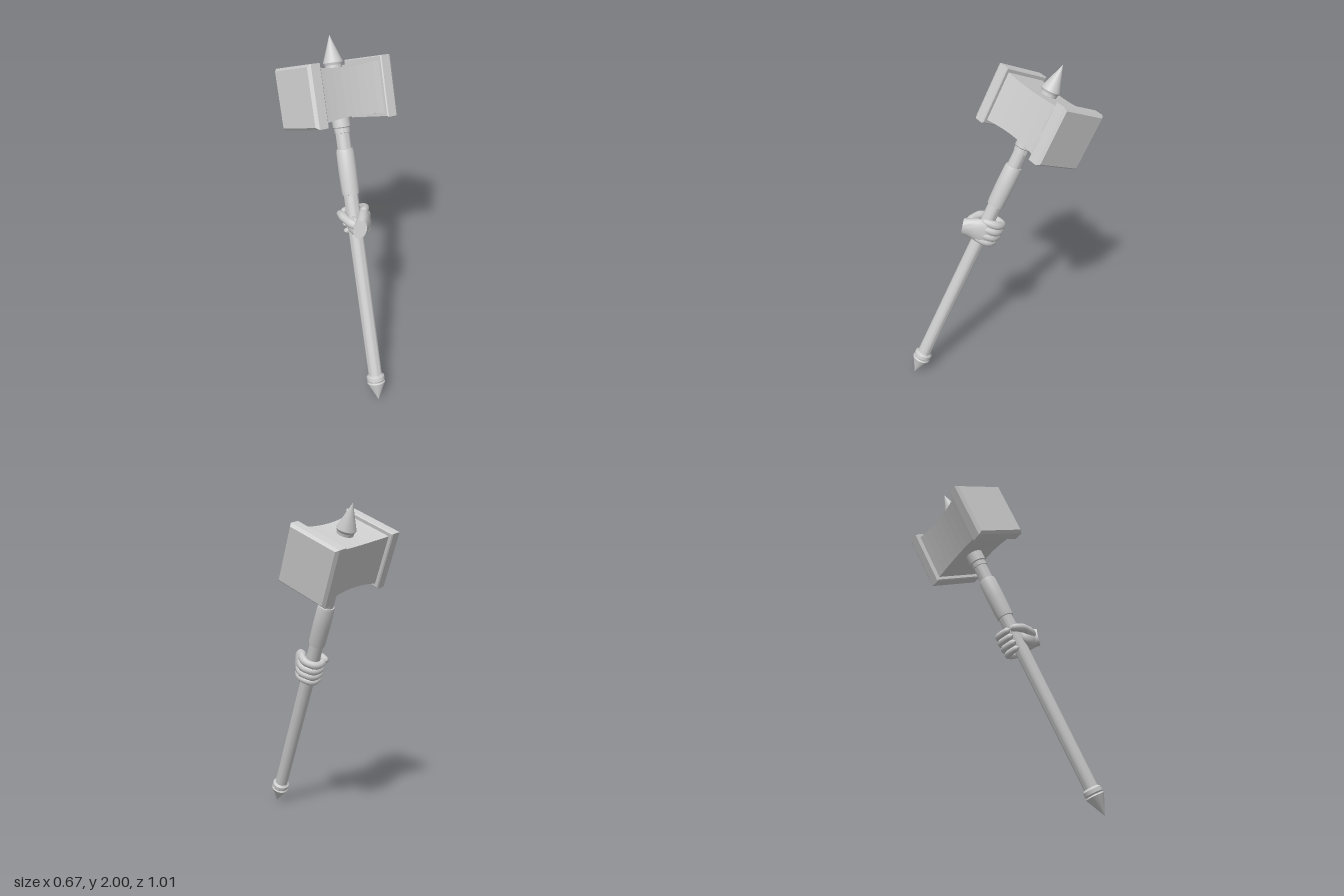
import * as THREE from 'three';
import { toCreasedNormals } from 'three/addons/utils/BufferGeometryUtils.js';

const smooth = new THREE.MeshStandardMaterial({ color: 0xcccccc });
const faceted = new THREE.MeshStandardMaterial({ color: 0xcccccc, flatShading: true });
const v2 = ([x, y]) => new THREE.Vector2(x, y);
const v3 = (p) => new THREE.Vector3(...p);

function add(parent, name, geometry, material = smooth) {
  const mesh = new THREE.Mesh(geometry, material);
  mesh.name = name;
  parent.add(mesh);
  return mesh;
}

// Round part along the shaft, from [radius, height] points
function turned(parent, name, points) {
  const g = new THREE.LatheGeometry(points.map(v2), 28);
  return add(parent, name, toCreasedNormals(g.toNonIndexed(), 0.5));
}

// Square part along x, from [half size, x] points
function squareLoft(points) {
  const g = new THREE.LatheGeometry(points.map(([h, x]) => new THREE.Vector2(h * Math.SQRT2, x)), 4, Math.PI / 4);
  return g.rotateZ(-Math.PI / 2);
}

// Rounded, tapering digit along a smooth curve
function digit(parent, name, points, radius, taper) {
  const curve = new THREE.CatmullRomCurve3(points.map(v3));
  const rows = 18, sides = 12;
  const g = new THREE.TubeGeometry(curve, rows, radius, sides);
  const pos = g.attributes.position;
  const p = new THREE.Vector3();
  for (let i = 0; i <= rows; i++) {
    const t = i / rows, c = curve.getPointAt(t);
    // slight swelling at the joints, rounding off at the ends
    const joint = 1 + 0.06 * Math.cos(t * Math.PI * 6);
    const end = Math.sqrt(Math.max(0, 1 - Math.pow(Math.abs(2 * t - 1), 10)));
    const s = (1 - taper * t) * joint * end;
    for (let j = 0; j <= sides; j++) {
      const k = i * (sides + 1) + j;
      p.fromBufferAttribute(pos, k).sub(c).multiplyScalar(s).add(c);
      pos.setXYZ(k, p.x, p.y, p.z);
    }
  }
  g.computeVertexNormals();
  return add(parent, name, g);
}

// Back of the hand: ellipses lofted from the cut wrist to the knuckles
function palmGeometry() {
  const sections = [ // centre, half height, half thickness, backward lean
    [[-0.057, -0.034, 0.122], 0.054, 0.041, 0.35],
    [[-0.03, -0.022, 0.102], 0.06, 0.042, 0.25],
    [[0.0, -0.012, 0.078], 0.07, 0.042, 0.15],
    [[0.035, -0.006, 0.052], 0.08, 0.038, 0.05],
    [[0.068, -0.004, 0.018], 0.082, 0.026, 0],
  ];
  const n = 24, pos = [], idx = [];
  for (const [c, h, w, lean] of sections) {
    for (let j = 0; j < n; j++) {
      const a = (j / n) * Math.PI * 2;
      const u = Math.cos(a) * h, s = Math.sin(a) * w;
      pos.push(c[0] + s * 0.68, c[1] + u, c[2] + s * 0.73 + u * lean);
    }
  }
  for (let i = 0; i < sections.length - 1; i++) {
    for (let j = 0; j < n; j++) {
      const a = i * n + j, b = i * n + ((j + 1) % n);
      idx.push(a, b, a + n, b, b + n, a + n);
    }
  }
  // end caps
  const last = (sections.length - 1) * n;
  for (let j = 1; j < n - 1; j++) {
    idx.push(0, j + 1, j);
    idx.push(last, last + j, last + j + 1);
  }
  const g = new THREE.BufferGeometry();
  g.setAttribute('position', new THREE.Float32BufferAttribute(pos, 3));
  g.setIndex(idx);
  return toCreasedNormals(g, 0.8);
}

export function createModel() {
  const model = new THREE.Group();
  model.name = 'warHammer';

  // Hammer frame: y runs up the shaft from the pommel tip, x along the head
  const hammer = new THREE.Group();
  hammer.name = 'hammer';
  const up = new THREE.Vector3(0.375, 2.0, -0.89).normalize();
  const along = new THREE.Vector3(0.985, -0.166, 0.043);
  along.addScaledVector(up, -along.dot(up)).normalize();
  const front = new THREE.Vector3().crossVectors(along, up);
  hammer.quaternion.setFromRotationMatrix(new THREE.Matrix4().makeBasis(along, up, front));
  hammer.position.set(-0.305, 0, 0.5);
  model.add(hammer);

  // Shaft
  turned(hammer, 'pommelSpike', [[0, 0], [0.056, 0.118], [0.048, 0.128], [0, 0.128]]);
  turned(hammer, 'pommelRing', [[0, 0.125], [0.048, 0.125], [0.055, 0.135], [0.055, 0.158], [0.042, 0.17], [0, 0.17]]);
  turned(hammer, 'shaft', [[0.041, 0.16], [0.043, 1.15], [0.041, 1.8]]);
  turned(hammer, 'grip', [[0.041, 1.3], [0.05, 1.302], [0.052, 1.325], [0.054, 1.44], [0.052, 1.555], [0.048, 1.57], [0.041, 1.572]]);
  turned(hammer, 'collar', [[0.04, 1.665], [0.046, 1.667], [0.046, 1.695], [0.052, 1.7], [0.052, 1.775]]);

  // Head: waisted block between two chamfered plates
  const head = new THREE.Group();
  head.name = 'head';
  head.position.y = 1.897;
  hammer.add(head);
  const waist = [[0, -0.22]];
  for (let i = 0; i <= 8; i++) {
    const s = i / 4 - 1;
    waist.push([0.137 + 0.016 * s * s, 0.22 * s]);
  }
  waist.push([0, 0.22]);
  add(head, 'headBlock', squareLoft(waist), faceted);
  for (const side of [-1, 1]) {
    const plate = add(head, side > 0 ? 'leftPlate' : 'rightPlate',
      squareLoft([[0, 0.208], [0.17, 0.208], [0.176, 0.214], [0.176, 0.272], [0.162, 0.29], [0, 0.29]]), faceted);
    if (side < 0) plate.rotation.y = Math.PI;
  }
  turned(hammer, 'topSpikeRing', [[0.049, 2.02], [0.049, 2.058], [0, 2.058]]);
  turned(hammer, 'topSpike', [[0, 2.052], [0.052, 2.052], [0.058, 2.066], [0, 2.221]]);

  // Fist closed round the shaft
  const hand = new THREE.Group();
  hand.name = 'hand';
  hand.position.y = 1.144;
  hammer.add(hand);
  add(hand, 'palm', palmGeometry());
  for (let i = 0; i < 4; i++) {
    const y = 0.06 - i * 0.041;
    const k = [0.97, 1.03, 1, 0.92][i];
    digit(hand, 'finger', [
      [0.01, y * 0.85, 0.072], [0.06 * k, y, 0.042], [0.088 * k, y, -0.012],
      [0.062 * k, y - 0.002, -0.066], [0.012, y - 0.003, -0.074], [-0.042, y - 0.003, -0.052],
    ], 0.0255 * (i === 3 ? 0.92 : 1), 0.15);
  }
  digit(hand, 'thumb', [
    [-0.03, -0.03, 0.105], [-0.066, 0.0, 0.065], [-0.078, 0.028, 0.02],
    [-0.07, 0.046, -0.025], [-0.054, 0.052, -0.068],
  ], 0.03, 0.25);
  // Heel of the hand under the thumb
  const heel = add(hand, 'heel', new THREE.SphereGeometry(1, 20, 14));
  heel.scale.set(0.035, 0.055, 0.05);
  heel.position.set(-0.042, -0.02, 0.055);

  return model;
}
